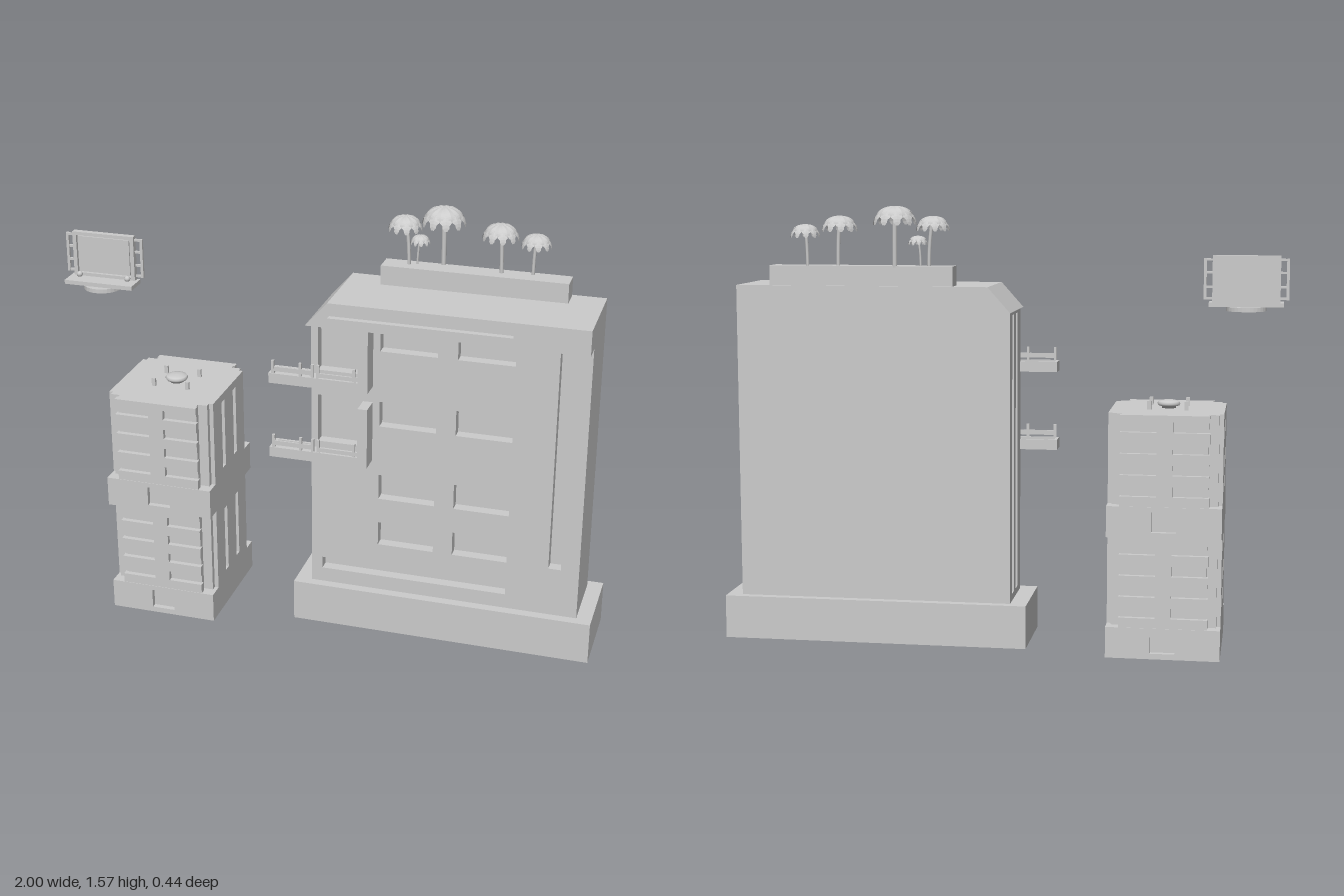
import * as THREE from 'three';

const grey = new THREE.MeshStandardMaterial({ color: 0xcccccc, flatShading: true });
const thin = new THREE.MeshStandardMaterial({ color: 0xcccccc, flatShading: true, side: THREE.DoubleSide });
const smooth = new THREE.MeshStandardMaterial({ color: 0xcccccc });

function add(parent, name, geo, mat = grey) {
  const mesh = new THREE.Mesh(geo, mat);
  mesh.name = name;
  parent.add(mesh);
  return mesh;
}
function group(parent, name) {
  const g = new THREE.Group();
  g.name = name;
  parent.add(g);
  return g;
}
// Box from its limits
function box(parent, name, x0, x1, y0, y1, z0, z1) {
  const m = add(parent, name, new THREE.BoxGeometry(x1 - x0, y1 - y0, z1 - z0));
  m.position.set((x0 + x1) / 2, (y0 + y1) / 2, (z0 + z1) / 2);
  return m;
}
const rect = (x0, x1, y0, y1) => [[x0, y0], [x1, y0], [x1, y1], [x0, y1]];
// Upright panel with cut-outs, extruded along z
function panel(parent, name, outline, z0, z1, holes = []) {
  const v = pts => pts.map(p => new THREE.Vector2(...p));
  const shape = new THREE.Shape(v(outline));
  shape.holes = holes.map(h => new THREE.Path(v(h)));
  const geo = new THREE.ExtrudeGeometry(shape, { depth: z1 - z0, bevelEnabled: false });
  geo.translate(0, 0, z0);
  return add(parent, name, geo);
}

function hotel(root) {
  const g = group(root, 'wideBuilding');
  box(g, 'plinth', -0.1, 1, 0.01, 0.165, -0.195, 0.12);
  box(g, 'wallCore', 0, 0.945, 0.165, 1.2, -0.165, 0.045);

  // front wall with recessed windows and grooves
  const holes = [rect(0, 0.685, 0.22, 0.265), rect(0.835, 0.88, 0.35, 1.195),
    rect(-0.015, 0.13, 1.01, 1.195), rect(-0.015, 0.13, 0.735, 0.915)];
  for (const [y0, y1] of [[1.105, 1.195], [0.82, 0.915], [0.535, 0.63], [0.35, 0.44]])
    for (const [x0, x1] of [[0.21, 0.415], [0.485, 0.685]]) holes.push(rect(x0, x1, y0, y1));
  panel(g, 'frontWall', rect(-0.04, 0.945, 0.165, 1.2), 0.045, 0.085, holes);

  // side wall with two tall grooves
  const side = panel(g, 'sideWall', rect(-0.045, 0.165, 0.165, 1.2), -0.04, 0,
    [rect(-0.015, 0.03, 0.19, 1.19), rect(0.07, 0.115, 0.19, 1.19)]);
  side.rotation.y = Math.PI / 2;

  // overhanging roof edge with a sloped end
  const edge = [[-0.04, 1.2], [0.945, 1.2], [0.945, 1.29], [0.04, 1.29]];
  panel(g, 'roof', edge, -0.165, 0.135);
  panel(g, 'roofFront', edge, 0.135, 0.158,
    [[[0.04, 1.235], [0.685, 1.235], [0.685, 1.265], [0.065, 1.265]]]);
  box(g, 'planter', 0.165, 0.825, 1.29, 1.36, -0.155, -0.075);

  // balconies with railings and a pier
  for (const [y, top] of [[0.97, 1.2], [0.685, 0.91]]) {
    const b = group(g, 'balcony');
    box(b, 'floor', -0.175, 0.185, y, y + 0.025, 0.08, 0.157);
    box(b, 'frontLip', -0.175, 0.185, y + 0.025, y + 0.037, 0.146, 0.157);
    box(b, 'endLip', -0.175, -0.164, y + 0.025, y + 0.037, 0.08, 0.146);
    box(b, 'backLip', -0.164, -0.04, y + 0.025, y + 0.037, 0.08, 0.09);
    box(b, 'pier', 0.15, 0.185, y + 0.025, top, 0.085, 0.157);
    box(b, 'rail', -0.155, -0.02, y + 0.045, y + 0.062, 0.148, 0.154);
    box(b, 'rail', 0, 0.15, y + 0.04, y + 0.055, 0.148, 0.154);
    for (const x of [-0.16, -0.06, -0.015, 0.005, 0.135])
      box(b, 'post', x - 0.005, x + 0.005, y + 0.03, y + 0.085, 0.146, 0.155);
  }
}

// Drooping frond with a saw-toothed edge
function frond(R, droop) {
  const n = 10, geo = new THREE.PlaneGeometry(1, 1, 2, n), p = geo.attributes.position;
  for (let i = 0; i < p.count; i++) {
    const s = p.getX(i) * 2, t = p.getY(i) + 0.5, row = Math.round(t * n);
    const w = R * 0.31 * Math.sin(Math.PI * (0.08 + 0.84 * t)) * (row % 2 ? 1 : 0.75);
    p.setXYZ(i, R * Math.sin(t * 1.5), -droop * t * t - Math.abs(s) * w * 0.25, s * w);
  }
  geo.computeVertexNormals();
  return geo;
}
function palm(root, x0, x, z, top, R) {
  const g = group(root, 'palm');
  const crownY = top - 0.006;
  const path = new THREE.QuadraticBezierCurve3(new THREE.Vector3(x0, 1.355, z),
    new THREE.Vector3(x0, (1.36 + top) / 2, z), new THREE.Vector3(x, crownY - 0.004, z));
  add(g, 'trunk', new THREE.TubeGeometry(path, 8, R * 0.11, 7), smooth);
  for (let k = 0; k < 20; k++) {
    const upper = k % 2;
    const f = add(g, 'frond', frond(R * (upper ? 0.85 : 1), R * (upper ? 0.5 : 0.8)), thin);
    f.position.set(x, crownY + upper * 0.004, z);
    f.rotation.y = k * Math.PI / 10;
  }
}

function tower(root) {
  const g = group(root, 'tower');
  g.position.set(-0.585, 0, -0.004);
  // plinth and middle band, each with a square recess front and back
  for (const [y0, y1] of [[0, 0.11], [0.43, 0.54]]) {
    box(g, 'band', -0.2, 0.2, y0, y1, -0.2, 0.2);
    for (const a of [0, Math.PI])
      panel(g, 'bandFace', rect(-0.2, 0.2, y0, y1), 0.2, 0.22,
        [rect(-0.043, 0.043, y0 + 0.02, y0 + 0.092)]).rotation.y = a;
  }
  // two storeys blocks with stepped corners
  for (const y of [0.11, 0.54]) {
    const t = y + 0.32;
    box(g, 'core', -0.15, 0.15, y, t, -0.2, 0.2);
    box(g, 'cornerStep', -0.185, 0.185, y, t, -0.18, 0.18);
    for (const a of [0, Math.PI]) {
      const face = group(g, 'windowFace');
      face.rotation.y = a;
      box(face, 'middleStrip', -0.028, 0.028, y, t, 0.195, 0.218);
      const sills = [[0, 0.035], [0.072, 0.11], [0.147, 0.185], [0.222, 0.26], [0.297, 0.32]];
      for (const [a0, a1] of sills)
        for (const s of [-1, 1])
          box(face, 'sill', s < 0 ? -0.155 : 0.028, s < 0 ? -0.028 : 0.155, y + a0, y + a1, 0.195, 0.218);
      // sides with two narrow upright grooves
      panel(g, 'grooveFace', rect(-0.16, 0.16, y, t), 0.18, 0.2,
        [rect(-0.075, -0.045, y + 0.03, t - 0.03), rect(0.045, 0.075, y + 0.03, t - 0.03)])
        .rotation.y = a + Math.PI / 2;
    }
  }
  // rooftop tank and posts
  const pts = [[0, 0], [0.025, 0], [0.025, 0.008], [0.037, 0.01], [0.041, 0.017], [0.037, 0.025], [0.02, 0.029], [0, 0.03]];
  add(g, 'tank', new THREE.LatheGeometry(pts.map(p => new THREE.Vector2(...p)), 24), smooth).position.y = 0.859;
  for (const x of [-0.065, 0.065])
    for (const z of [-0.062, 0.062]) box(g, 'post', x - 0.007, x + 0.007, 0.86, 0.89, z - 0.005, z + 0.005);
}

function billboard(root) {
  const g = group(root, 'billboard');
  g.position.x = -0.85;
  box(g, 'backing', -0.118, 0.118, 1.235, 1.4, -0.024, -0.014);
  panel(g, 'frame', rect(-0.118, 0.118, 1.235, 1.4), -0.014, -0.002, [rect(-0.104, 0.104, 1.247, 1.388)]);
  box(g, 'screen', -0.098, 0.098, 1.252, 1.383, -0.014, -0.008);
  box(g, 'shelf', -0.13, 0.13, 1.22, 1.235, -0.024, 0.06);
  const disc = add(g, 'disc', new THREE.CylinderGeometry(0.07, 0.07, 0.015, 32));
  disc.position.set(0, 1.2125, 0.012);
  for (const s of [-1, 1]) {
    const x = s * 0.143;
    box(g, 'sidePole', x - 0.005, x + 0.005, 1.245, 1.39, -0.022, -0.012);
    for (const y of [1.25, 1.29, 1.34, 1.385])
      box(g, 'bracket', Math.min(s * 0.115, x), Math.max(s * 0.115, x), y - 0.004, y + 0.004, -0.021, -0.013);
    add(g, 'lamp', new THREE.SphereGeometry(0.011, 12, 8), smooth).position.set(s * 0.093, 1.244, 0.008);
  }
}

export function createModel() {
  const root = new THREE.Group();
  root.name = 'cityBlock';
  hotel(root);
  tower(root);
  billboard(root);
  // palms: base x, crown x, z, top, radius
  for (const p of [[0.255, 0.24, -0.12, 1.537, 0.06], [0.283, 0.292, -0.13, 1.468, 0.035],
    [0.372, 0.37, -0.148, 1.572, 0.077], [0.582, 0.575, -0.122, 1.537, 0.064],
    [0.69, 0.697, -0.135, 1.507, 0.053]]) palm(root, ...p);
  return root;
}
